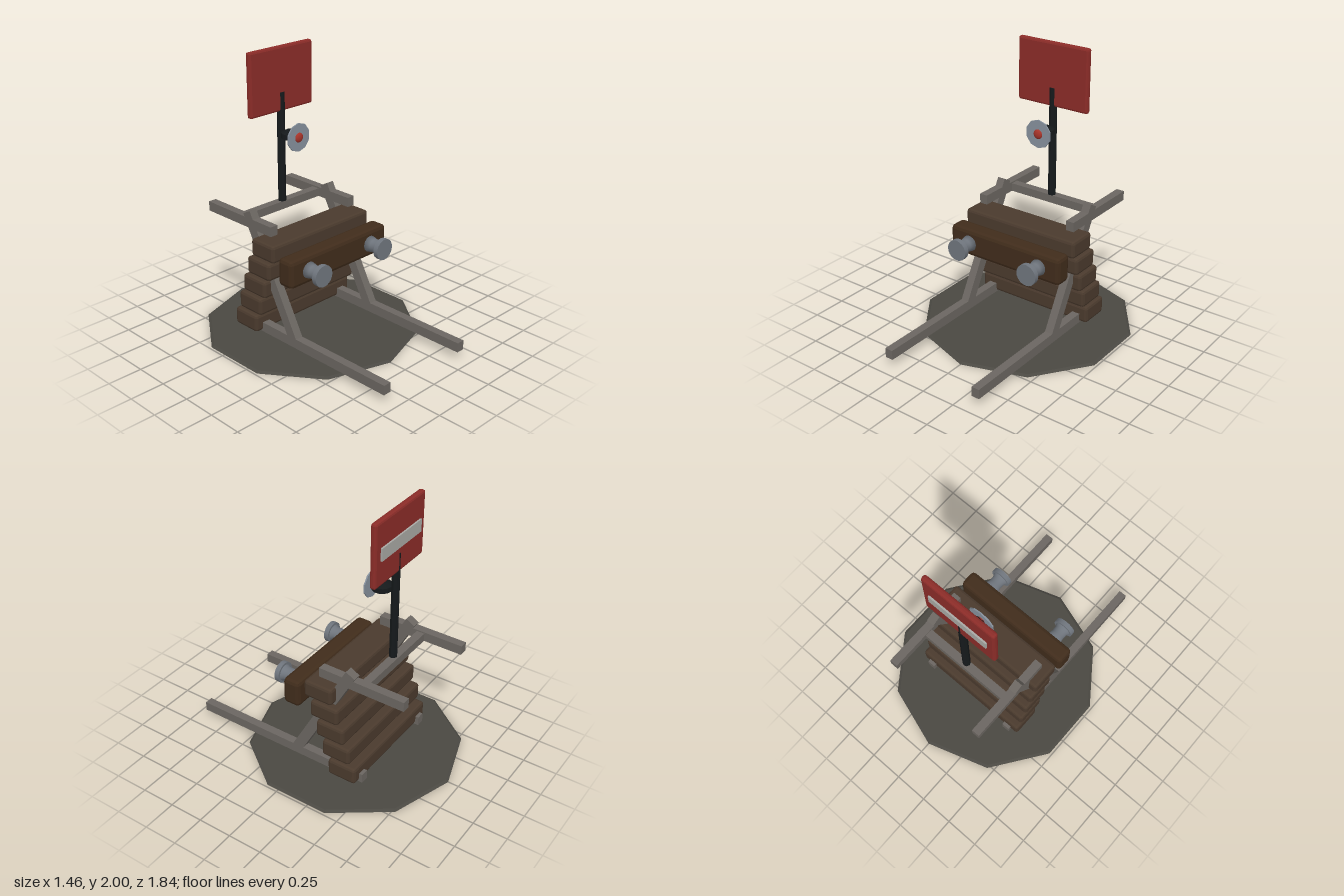
import * as THREE from 'three';
import { RoundedBoxGeometry } from 'three/addons/geometries/RoundedBoxGeometry.js';

const mat = (color, flatShading = true) => new THREE.MeshStandardMaterial({ color, flatShading });

export function createModel() {
  const group = new THREE.Group();
  const steel = mat(0x6b6661), wood = mat(0x4a3a2d), darkWood = mat(0x402c1b);
  const black = mat(0x15191b), red = mat(0x8b2c28), iron = mat(0x6f757d, false);

  const add = (name, geometry, material, x, y, z, parent = group) => {
    const mesh = new THREE.Mesh(geometry, material);
    mesh.name = name;
    mesh.position.set(x, y, z);
    parent.add(mesh);
    return mesh;
  };
  const box = (w, h, d) => new THREE.BoxGeometry(w, h, d);
  // Box with a single chamfer on every edge
  const chamferBox = (w, h, d, r) => new RoundedBoxGeometry(w, h, d, 1, r);

  // Ballast pad
  add('groundPad', new THREE.CylinderGeometry(0.75, 0.77, 0.012, 10), mat(0x4a4842), 0, 0.006, -0.15);

  // Side frames: lower rail, sloping brace, upper rail, mirrored
  for (const [side, s] of [['left', 1], ['right', -1]]) {
    const x = 0.37 * s;
    add(side + 'LowerRail', box(0.06, 0.07, 1.39), steel, x, 0.097, 0.225);
    add(side + 'UpperRail', box(0.06, 0.07, 0.65), steel, x, 0.855, -0.445);
    add(side + 'Brace', box(0.06, 0.95, 0.076), steel, x, 0.511, -0.1375).rotation.x = -0.5;
  }
  add('crossBar', box(0.7, 0.06, 0.06), steel, 0, 0.85, -0.45);

  // Stepped stack of timbers
  for (let i = 0; i < 5; i++) {
    add('timber' + (i + 1), chamferBox(0.92, 0.126, 0.22, 0.02), wood, 0, 0.133 + i * 0.148, -0.335 + i * 0.0475);
  }

  // Front beam with two round bumpers
  add('frontBeam', chamferBox(0.92, 0.2, 0.13, 0.027), darkWood, 0, 0.632, 0.075);
  const bumperProfile = [
    [0, 0], [0.06, 0], [0.049, 0.05], [0.049, 0.09], [0.06, 0.112], [0.06, 0.112],
    [0.077, 0.112], [0.077, 0.112], [0.077, 0.147], [0.077, 0.147], [0, 0.147],
  ].map(p => new THREE.Vector2(...p));
  for (const [side, s] of [['left', 1], ['right', -1]]) {
    add(side + 'Bumper', new THREE.LatheGeometry(bumperProfile, 20), iron, 0.295 * s, 0.632, 0.133)
      .rotation.x = Math.PI / 2;
  }

  // Sign post, board and back strip
  add('post', new THREE.CylinderGeometry(0.028, 0.028, 0.8, 8), black, 0, 1.28, -0.44);
  add('signBoard', chamferBox(0.57, 0.455, 0.044, 0.015), red, 0, 1.772, -0.443);
  add('signStrip', box(0.46, 0.09, 0.014), mat(0xa8a8a4), 0, 1.775, -0.47);

  // Lamp: squat housing, reflector plate and lens
  const lamp = new THREE.Group();
  lamp.name = 'lamp';
  lamp.position.set(0, 1.392, 0);
  group.add(lamp);
  const housing = [[0, -0.034], [0.035, -0.034], [0.07, -0.018], [0.07, 0.018], [0.035, 0.037], [0, 0.037]]
    .map(p => new THREE.Vector2(...p));
  add('lampHousing', new THREE.LatheGeometry(housing, 14), black, 0, 0, -0.338, lamp);
  add('lampPlate', new THREE.CylinderGeometry(0.102, 0.102, 0.01, 10), mat(0x86909c), 0, 0, -0.266, lamp)
    .rotation.x = Math.PI / 2;
  add('lampLens', new THREE.SphereGeometry(0.035, 16, 10), mat(0xa8342a, false), 0, 0, -0.262, lamp)
    .scale.z = 0.5;

  return group;
}
